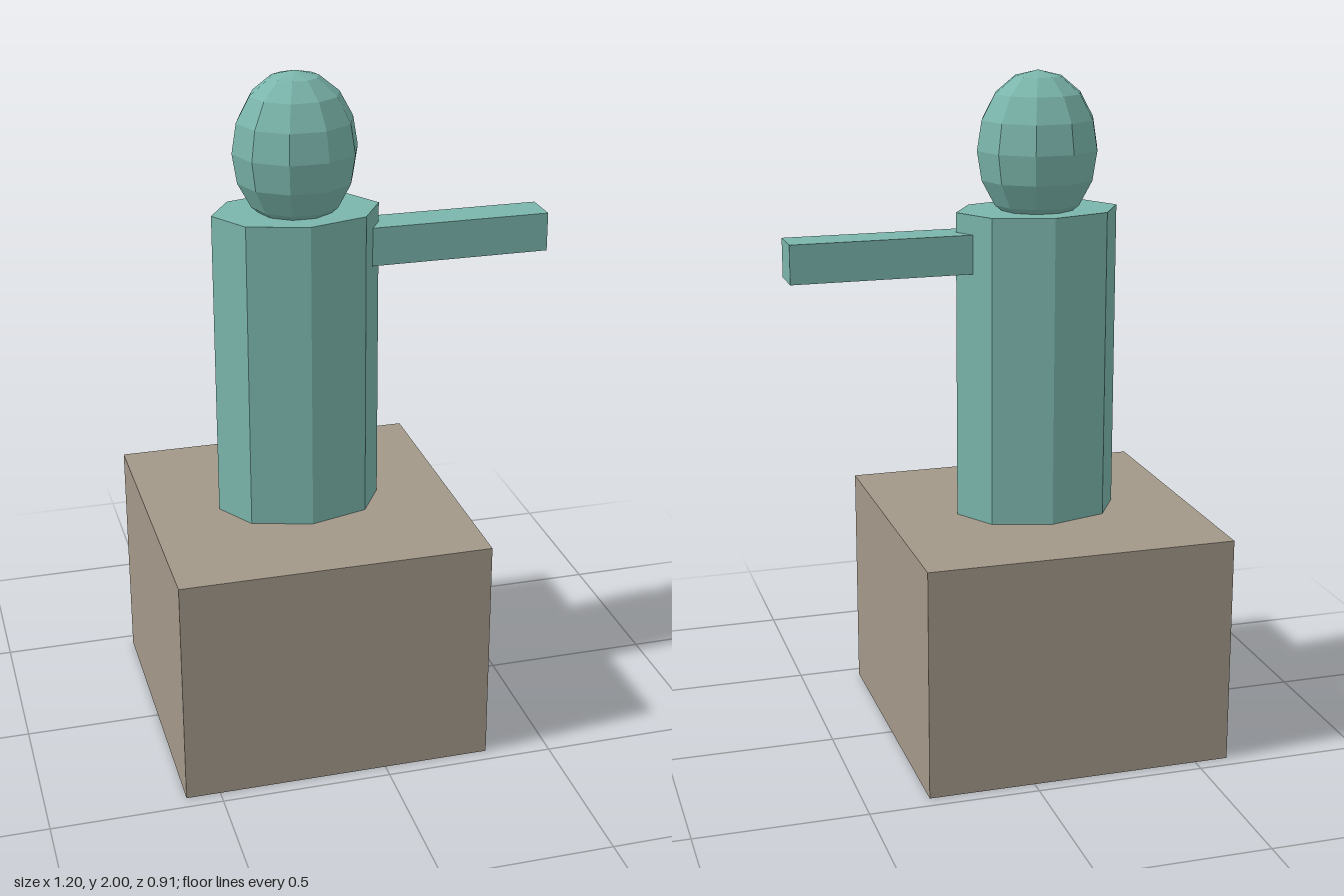
import * as THREE from 'three';

// Design unit: the plinth is 8 x 6 x 8 units, the whole figure 17.5 units tall.
const U = 2 / 17.5;
const AXIS_X = -0.143; // shared centre line of plinth, torso and head

export function createModel() {
  const model = new THREE.Group();
  model.name = 'statue';

  const stone = new THREE.MeshStandardMaterial({ color: 0xa39889, flatShading: true });
  const patina = new THREE.MeshStandardMaterial({ color: 0x7ab5ab, flatShading: true });

  const add = (name, geometry, material, x, y) => {
    const mesh = new THREE.Mesh(geometry, material);
    mesh.name = name;
    mesh.position.set(x, y, 0);
    model.add(mesh);
    return mesh;
  };

  // Square plinth
  add('plinth', new THREE.BoxGeometry(8 * U, 6 * U, 8 * U), stone, AXIS_X, 3 * U);

  // Eight-sided torso, wider than deep
  add('torso', new THREE.CylinderGeometry(1, 1, 8 * U, 8), patina, AXIS_X, 10 * U)
    .scale.set(0.245, 1, 0.171);

  // Faceted egg-shaped head, sunk slightly into the torso
  add('head', new THREE.SphereGeometry(1, 10, 8), patina, AXIS_X, 1.775)
    .scale.set(0.182, 0.225, 0.171);

  // Single arm held straight out to the left, rooted inside the torso
  add('leftArm', new THREE.BoxGeometry(5 * U, U, U), patina, 0.6 - 2.5 * U, 13 * U);

  return model;
}
